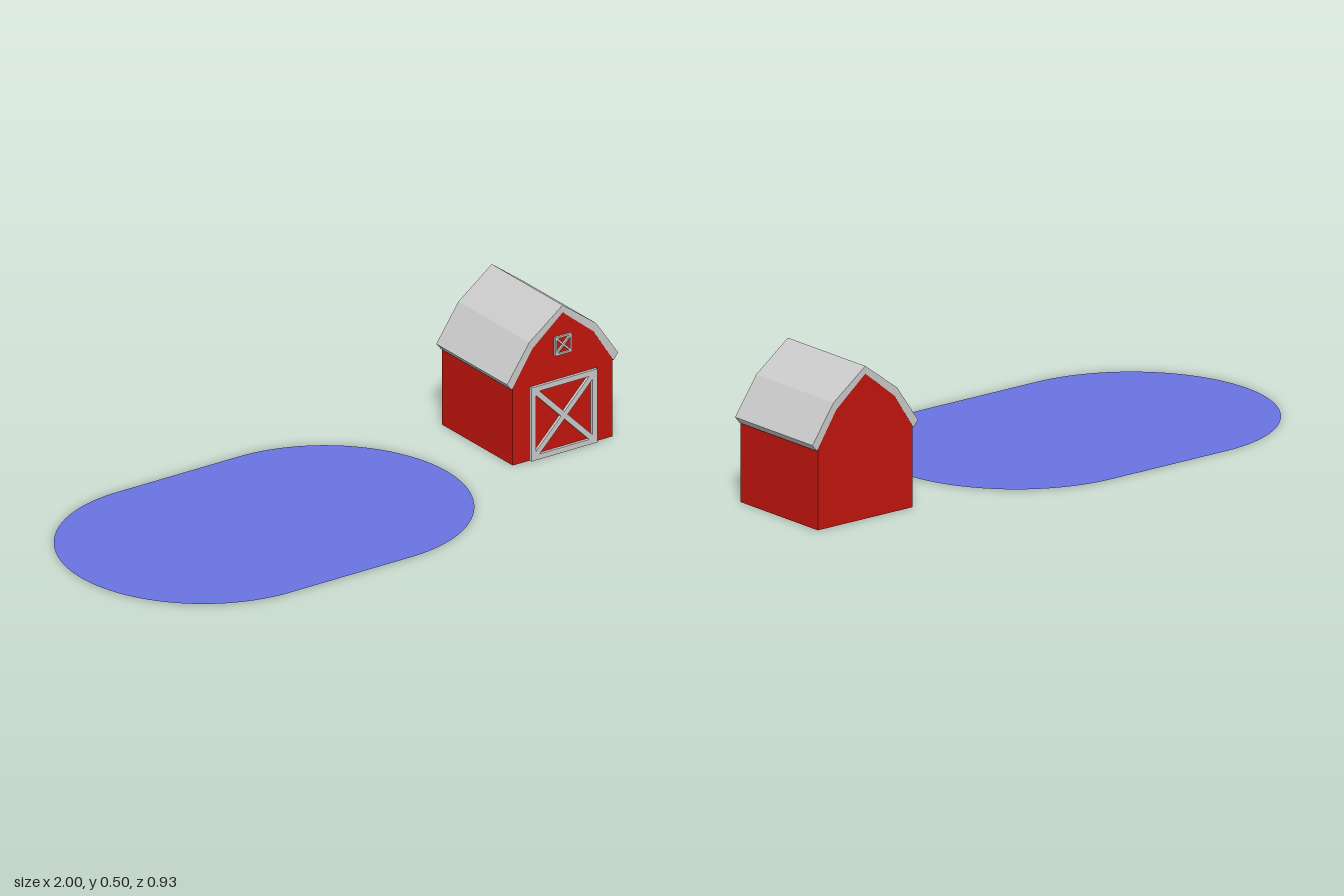
import * as THREE from 'three';

const RED = new THREE.MeshStandardMaterial({ color: 0xc4150d, flatShading: true });
const GREY = new THREE.MeshStandardMaterial({ color: 0xcccccc, flatShading: true });
const BLUE = new THREE.MeshStandardMaterial({ color: 0x6a73e0, side: THREE.DoubleSide });

const BACK = -0.298, FRONT = 0.083; // barn extent in z

function add(parent, name, geometry, material) {
  const mesh = new THREE.Mesh(geometry, material);
  mesh.name = name;
  parent.add(mesh);
  return mesh;
}

// Half profile from eave to ridge, mirrored to the other side
function mirrored(half) {
  const other = half.slice(0, -1).reverse().map(([x, y]) => [-x, y]);
  return [...half, ...other];
}

function prism(points, depth) {
  const shape = new THREE.Shape(points.map(([x, y]) => new THREE.Vector2(x, y)));
  return new THREE.ExtrudeGeometry(shape, { depth, bevelEnabled: false });
}

// Square frame with a diagonal cross, standing on y = 0
function crossFrame(name, size, bar, depth) {
  const group = new THREE.Group();
  group.name = name;
  const h = size / 2, i = h - bar;
  const shape = new THREE.Shape([[-h, 0], [h, 0], [h, size], [-h, size]].map(p => new THREE.Vector2(...p)));
  shape.holes.push(new THREE.Path(
    [[-i, bar], [-i, size - bar], [i, size - bar], [i, bar]].map(p => new THREE.Vector2(...p))));
  add(group, name + 'Frame', new THREE.ExtrudeGeometry(shape, { depth, bevelEnabled: false }), GREY);
  for (const side of [-1, 1]) {
    const brace = add(group, name + 'Brace', new THREE.BoxGeometry(i * 2 * Math.SQRT2, bar, depth), GREY);
    brace.position.set(0, h, depth / 2);
    brace.rotation.z = side * Math.PI / 4;
  }
  return group;
}

export function createModel() {
  const model = new THREE.Group();
  model.name = 'barnAndPond';

  // Flat pond with two round ends
  const r = 0.467, pondShape = new THREE.Shape();
  pondShape.absarc(-0.067, 0, r, -Math.PI / 2, Math.PI / 2, false);
  pondShape.absarc(-0.533, 0, r, Math.PI / 2, Math.PI * 1.5, false);
  const pond = add(model, 'pond', new THREE.ShapeGeometry(pondShape, 40), BLUE);
  pond.rotation.x = -Math.PI / 2;
  pond.position.y = 0.001;

  const barn = new THREE.Group();
  barn.name = 'barn';
  barn.position.x = 0.785;
  model.add(barn);

  // Walls fill the inside of the gambrel roof
  const walls = mirrored([[0.191, 0], [0.191, 0.267], [0.117, 0.381], [0, 0.476]]);
  add(barn, 'walls', prism(walls, FRONT - BACK), RED).position.z = BACK;

  // Roof shell of even thickness, flush with the gables
  const outer = mirrored([[0.213, 0.282], [0.128, 0.405], [0, 0.5]]);
  const inner = mirrored([[0.195, 0.26], [0.117, 0.38], [0, 0.475]]);
  add(barn, 'roof', prism([...outer, ...inner.reverse()], FRONT - BACK + 0.001).translate(0, 0, -0.0005), GREY)
    .position.z = BACK;

  // Barn door and loft window
  const door = crossFrame('door', 0.252, 0.018, 0.01);
  door.position.z = FRONT;
  const loft = crossFrame('loftWindow', 0.064, 0.006, 0.007);
  loft.position.set(0, 0.335, FRONT);
  barn.add(door, loft);

  return model;
}
